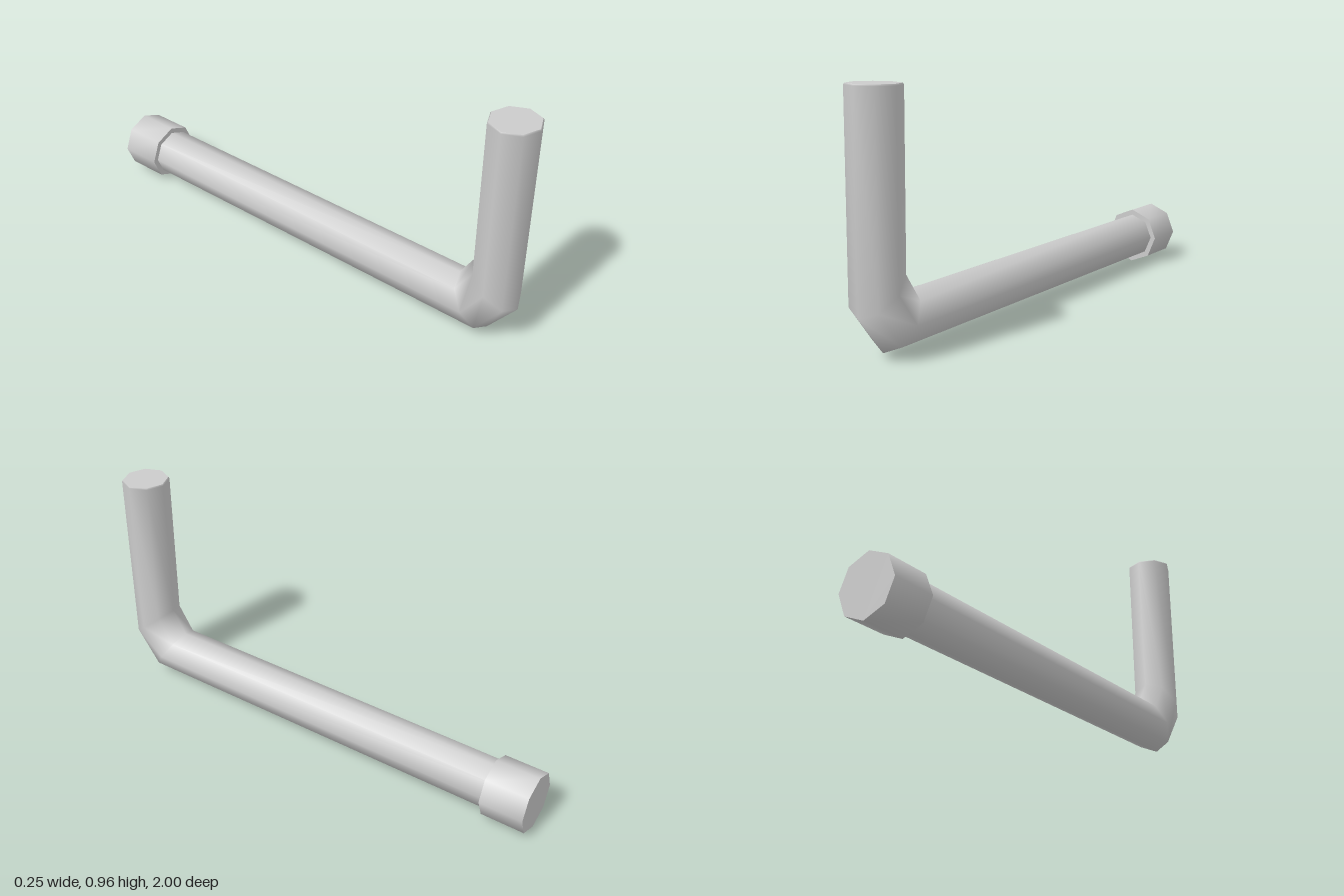
import * as THREE from 'three';

const SIDES = 8;

// Lofts a closed octagonal tube through sections { outer: [z, y], inner: [z, y], rx }.
// Sides are smooth, the flat ends keep a sharp edge.
function loftPipe(sections) {
  const positions = [];
  const index = [];
  const addRing = ({ outer, inner, rx }) => {
    const start = positions.length / 3;
    const cz = (outer[0] + inner[0]) / 2, cy = (outer[1] + inner[1]) / 2;
    for (let j = 0; j < SIDES; j++) {
      const a = (j / SIDES) * Math.PI * 2;
      positions.push(
        rx * Math.sin(a),
        cy + (outer[1] - cy) * Math.cos(a),
        cz + (outer[0] - cz) * Math.cos(a)
      );
    }
    return start;
  };

  // side walls
  const rings = sections.map(addRing);
  for (let i = 0; i < rings.length - 1; i++) {
    for (let j = 0; j < SIDES; j++) {
      const k = (j + 1) % SIDES;
      const a = rings[i] + j, b = rings[i] + k;
      const c = rings[i + 1] + j, d = rings[i + 1] + k;
      index.push(a, b, c, b, d, c);
    }
  }

  // end caps
  const first = addRing(sections[0]);
  const last = addRing(sections[sections.length - 1]);
  for (let j = 1; j < SIDES - 1; j++) {
    index.push(first, first + j + 1, first + j);
    index.push(last, last + j, last + j + 1);
  }

  const geometry = new THREE.BufferGeometry();
  geometry.setAttribute('position', new THREE.Float32BufferAttribute(positions, 3));
  geometry.setIndex(index);
  geometry.computeVertexNormals();
  return geometry;
}

export function createModel() {
  const group = new THREE.Group();
  group.name = 'elbowPipe';
  const material = new THREE.MeshStandardMaterial({ color: 0xcccccc });
  const add = (name, sections) => {
    const mesh = new THREE.Mesh(loftPipe(sections), material);
    mesh.name = name;
    group.add(mesh);
  };

  // long run, two-step bend and slightly leaning upright
  add('bentPipe', [
    { outer: [-0.9, 0.027], inner: [-0.9, 0.225], rx: 0.1 },
    { outer: [0.885, 0.027], inner: [0.745, 0.225], rx: 0.1 },
    { outer: [1.0, 0.178], inner: [0.808, 0.328], rx: 0.1 },
    { outer: [0.992, 0.952], inner: [0.797, 0.949], rx: 0.1 },
    { outer: [0.988, 0.958], inner: [0.801, 0.955], rx: 0.097 },
  ]);

  // wider collar on the far end
  add('endCollar', [
    { outer: [-1, 0.001], inner: [-1, 0.249], rx: 0.123 },
    { outer: [-0.818, 0.001], inner: [-0.818, 0.249], rx: 0.123 },
  ]);

  return group;
}
